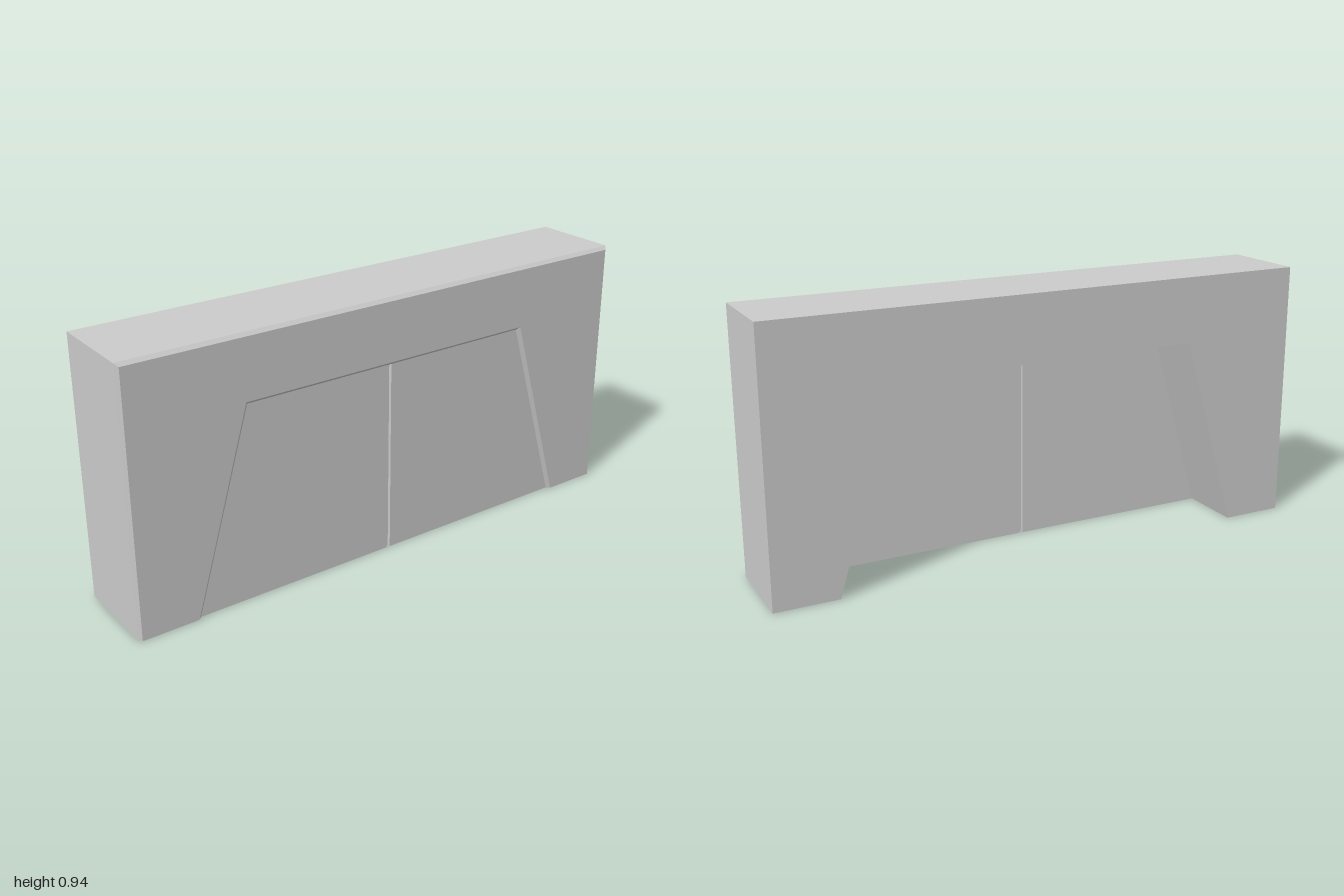
import * as THREE from 'three';

const Z_BACK = -0.165, Z_EDGE = 0.155, Z_FRONT = 0.167;
const DOOR_BACK = 0.07;

// Joins matching outlines [{z, pts}] from back to front and caps both ends.
function loft(rings) {
  const pos = [];
  const put = (ring, i) => pos.push(ring.pts[i][0], ring.pts[i][1], ring.z);
  const n = rings[0].pts.length;
  for (let r = 0; r < rings.length - 1; r++) {
    const a = rings[r], b = rings[r + 1];
    for (let i = 0; i < n; i++) {
      const j = (i + 1) % n;
      put(a, i); put(a, j); put(b, j);
      put(a, i); put(b, j); put(b, i);
    }
  }
  const cap = (ring, front) => {
    const contour = ring.pts.map(([x, y]) => new THREE.Vector2(x, y));
    for (const [i, j, k] of THREE.ShapeUtils.triangulateShape(contour, [])) {
      put(ring, i);
      put(ring, front ? j : k);
      put(ring, front ? k : j);
    }
  };
  cap(rings[0], false);
  cap(rings[rings.length - 1], true);
  const geo = new THREE.BufferGeometry();
  geo.setAttribute('position', new THREE.Float32BufferAttribute(pos, 3));
  geo.computeVertexNormals();
  return geo;
}

// Mirrored arch outline, counter-clockwise from the front.
function arch(halfWidth, height, base, top, openHeight) {
  return [
    [-halfWidth, 0], [-base, 0], [-top, openHeight], [top, openHeight],
    [base, 0], [halfWidth, 0], [halfWidth, height], [-halfWidth, height],
  ];
}

export function createModel() {
  const group = new THREE.Group();
  const material = new THREE.MeshStandardMaterial({ color: 0xcccccc, flatShading: true });
  const add = (name, geometry) => {
    const mesh = new THREE.Mesh(geometry, material);
    mesh.name = name;
    group.add(mesh);
  };

  // Wall with a tapered doorway, chamfered around its front edges
  const wall = arch(1, 0.945, 0.772, 0.565, 0.706);
  const face = arch(0.988, 0.933, 0.784, 0.575, 0.717);
  add('wallFrame', loft([
    { z: Z_BACK, pts: wall }, { z: Z_EDGE, pts: wall }, { z: Z_FRONT, pts: face },
  ]));

  // Two door leaves set flush with the foot of the chamfer
  const leaf = (name, pts) =>
    add(name, loft([{ z: DOOR_BACK, pts }, { z: Z_EDGE, pts }]));
  leaf('rightDoor', [[-0.772, 0], [-0.014, 0], [-0.014, 0.706], [-0.565, 0.706]]);
  leaf('leftDoor', [[0, 0], [0.772, 0], [0.565, 0.706], [0, 0.706]]);

  // Recessed strip closing the seam between the leaves
  const seam = new THREE.BoxGeometry(0.014, 0.706, Z_EDGE - DOOR_BACK - 0.024);
  seam.translate(-0.007, 0.353, (Z_EDGE + DOOR_BACK) / 2);
  add('doorSeam', seam);

  return group;
}
